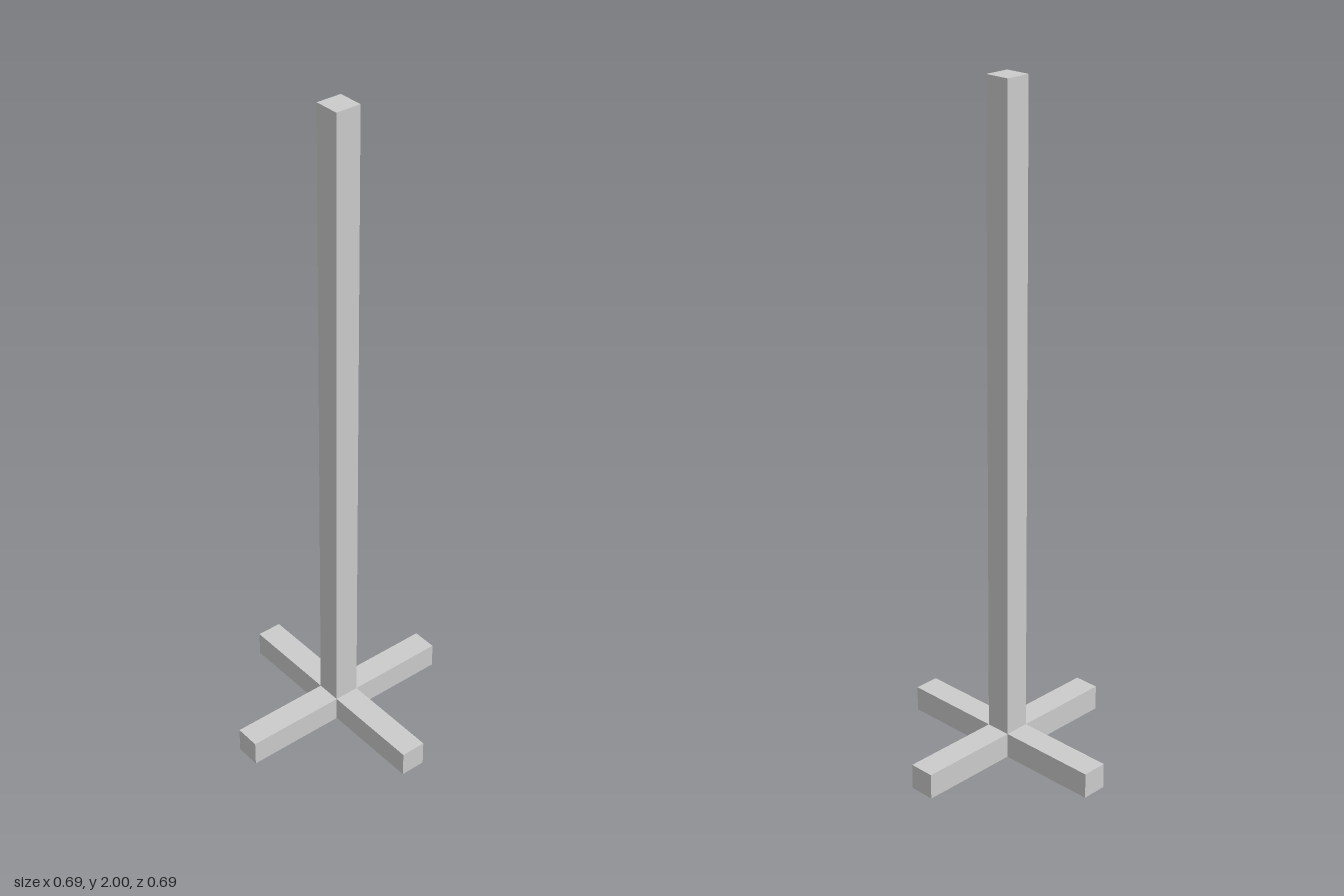
import * as THREE from 'three';

const HEIGHT = 2;
const BEAM = 0.077; // square section shared by post and feet
const REACH = 0.346; // centre to foot tip

export function createModel() {
  const model = new THREE.Group();
  model.name = 'postStand';
  const material = new THREE.MeshStandardMaterial({ color: 0xcccccc, flatShading: true });

  // Upright post, running down to the ground
  const post = new THREE.Mesh(new THREE.BoxGeometry(BEAM, HEIGHT, BEAM), material);
  post.name = 'post';
  post.position.y = HEIGHT / 2;
  model.add(post);

  // Four feet butting against the sides of the post
  const length = REACH - BEAM / 2;
  const footGeometry = new THREE.BoxGeometry(length, BEAM, BEAM);
  footGeometry.translate(BEAM / 2 + length / 2, BEAM / 2, 0);
  ['leftFoot', 'backFoot', 'rightFoot', 'frontFoot'].forEach((name, i) => {
    const foot = new THREE.Mesh(footGeometry, material);
    foot.name = name;
    foot.rotation.y = (i * Math.PI) / 2;
    model.add(foot);
  });

  return model;
}
